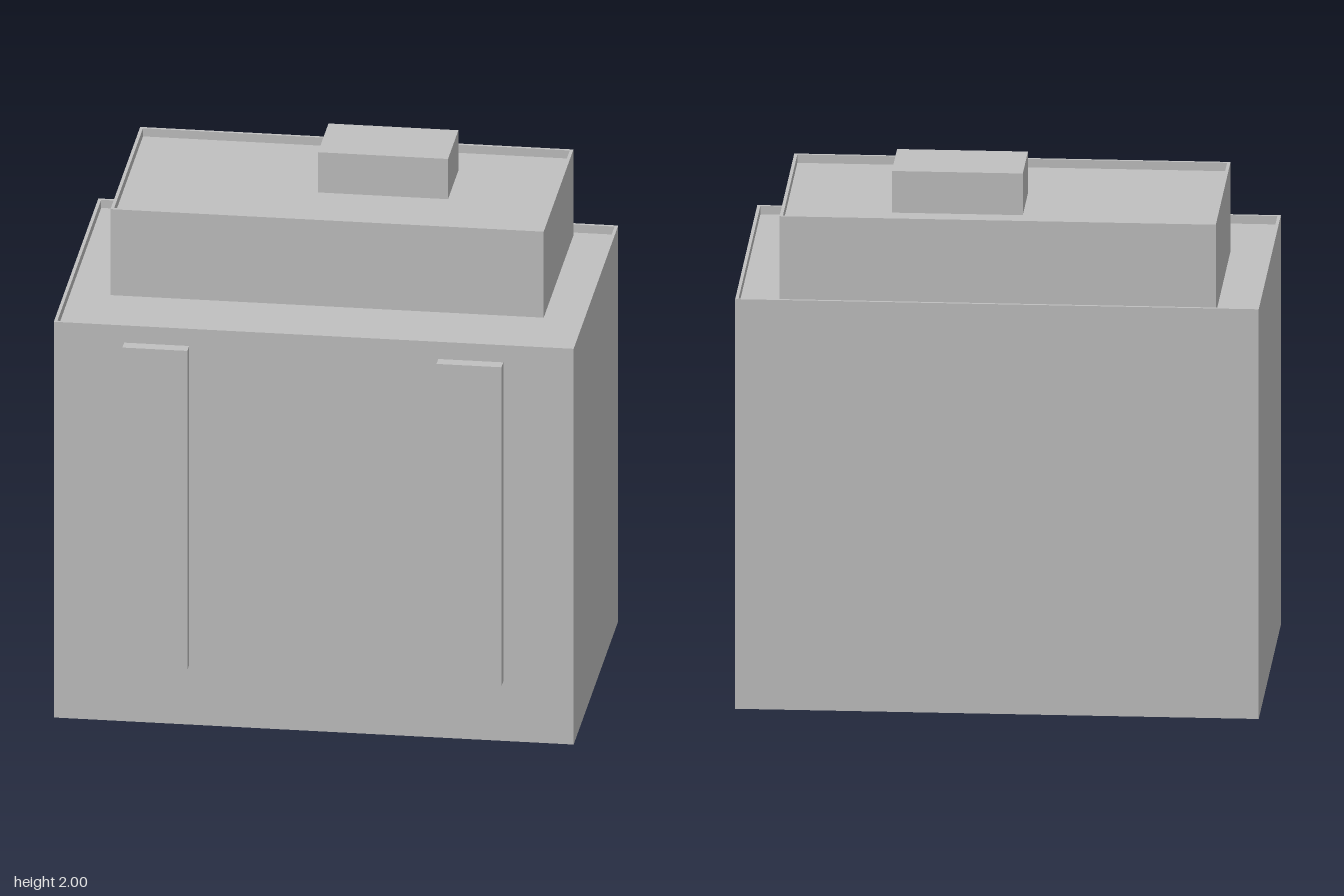
import * as THREE from 'three';

const RIM = 0.012;     // parapet thickness
const RECESS = 0.032;  // roof depth below the parapet

const concrete = new THREE.MeshStandardMaterial({ color: 0xc0c0c0, side: THREE.DoubleSide });
concrete.name = 'concrete grey';

// Open-bottomed storey: rectangular rings run up the wall, over the rim and down to a sunken roof
function storeyGeometry(x0, x1, z0, z1, y0, y1) {
  const ring = (inset, y) => [
    [x0 + inset, y, z1 - inset], [x1 - inset, y, z1 - inset],
    [x1 - inset, y, z0 + inset], [x0 + inset, y, z0 + inset],
  ];
  const rings = [ring(0, y0), ring(0, y1), ring(RIM, y1), ring(RIM, y1 - RECESS)];
  const positions = [];
  const quad = (a, b, c, d) => positions.push(...a, ...b, ...c, ...a, ...c, ...d);
  for (let r = 0; r < rings.length - 1; r++) {
    for (let i = 0; i < 4; i++) {
      const j = (i + 1) % 4;
      quad(rings[r][i], rings[r][j], rings[r + 1][j], rings[r + 1][i]);
    }
  }
  quad(...rings[3]);
  const geometry = new THREE.BufferGeometry();
  geometry.setAttribute('position', new THREE.Float32BufferAttribute(positions, 3));
  geometry.computeVertexNormals();
  return geometry;
}

function boxGeometry(x0, x1, z0, z1, y0, y1) {
  return new THREE.BoxGeometry(x1 - x0, y1 - y0, z1 - z0)
    .translate((x0 + x1) / 2, (y0 + y1) / 2, (z0 + z1) / 2);
}

export function createModel() {
  const group = new THREE.Group();
  group.name = 'building';
  const add = (name, geometry) => {
    const mesh = new THREE.Mesh(geometry, concrete);
    mesh.name = name;
    group.add(mesh);
  };

  // Main block and the set-back storey standing on its sunken roof
  add('mainBlock', storeyGeometry(-0.96, 0.96, -0.624, 0.576, 0, 1.565));
  add('upperStorey', storeyGeometry(-0.8, 0.8, -0.584, 0.216, 1.565 - RECESS, 1.873));

  // Roof unit
  add('roofUnit', boxGeometry(-0.08, 0.4, -0.404, -0.124, 1.873 - RECESS, 2));

  // Raised vertical panels on the front wall
  add('rightFrontPanel', boxGeometry(-0.7, -0.46, 0.576, 0.624, 0.235, 1.497));
  add('leftFrontPanel', boxGeometry(0.46, 0.7, 0.576, 0.624, 0.235, 1.497));

  return group;
}
